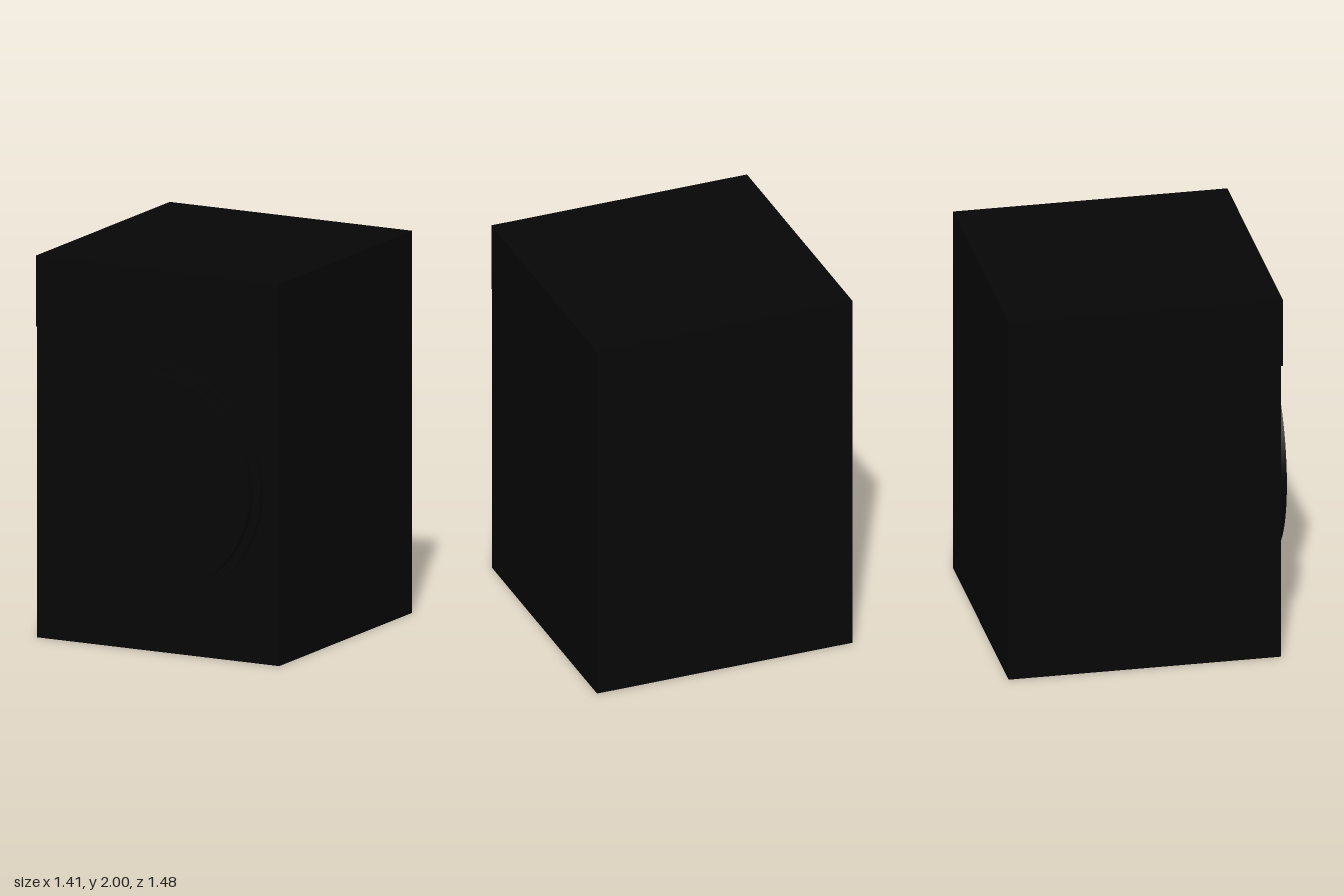
import * as THREE from 'three';

export function createModel() {
  const group = new THREE.Group();
  const mat = new THREE.MeshStandardMaterial({ color: 0x060606 });

  const add = (name, geometry, x, y, z) => {
    const mesh = new THREE.Mesh(geometry, mat);
    mesh.name = name;
    mesh.position.set(x, y, z);
    group.add(mesh);
    return mesh;
  };

  // Box given by its centre in x and y and its back and front in z
  const box = (name, w, h, x, y, z0, z1) =>
    add(name, new THREE.BoxGeometry(w, h, z1 - z0), x, y, (z0 + z1) / 2);

  // Disc facing the front
  const disc = (name, r, x, y, z0, z1, sides) =>
    add(name, new THREE.CylinderGeometry(r, r, z1 - z0, sides).rotateX(Math.PI / 2), x, y, (z0 + z1) / 2);

  // Cabinet and the control panel across its top front
  box('cabinet', 1.41, 2, 0, 1, -0.74, 0.68);
  box('controlPanel', 1.41, 0.37, 0, 1.815, 0.67, 0.69);

  // Round door: thin outer rim, raised inner disc
  disc('doorRim', 0.61, 0, 0.9, 0.67, 0.702, 96);
  disc('door', 0.565, 0, 0.9, 0.69, 0.74, 96);

  // Display and buttons on the panel
  box('display', 0.28, 0.12, 0, 1.86, 0.68, 0.696);
  for (let i = 0; i < 4; i++) {
    disc('button', 0.018, 0.25 + i * 0.085, 1.76, 0.68, 0.695, 20);
  }
  disc('startButton', 0.035, 0.59, 1.79, 0.68, 0.695, 28);

  return group;
}
